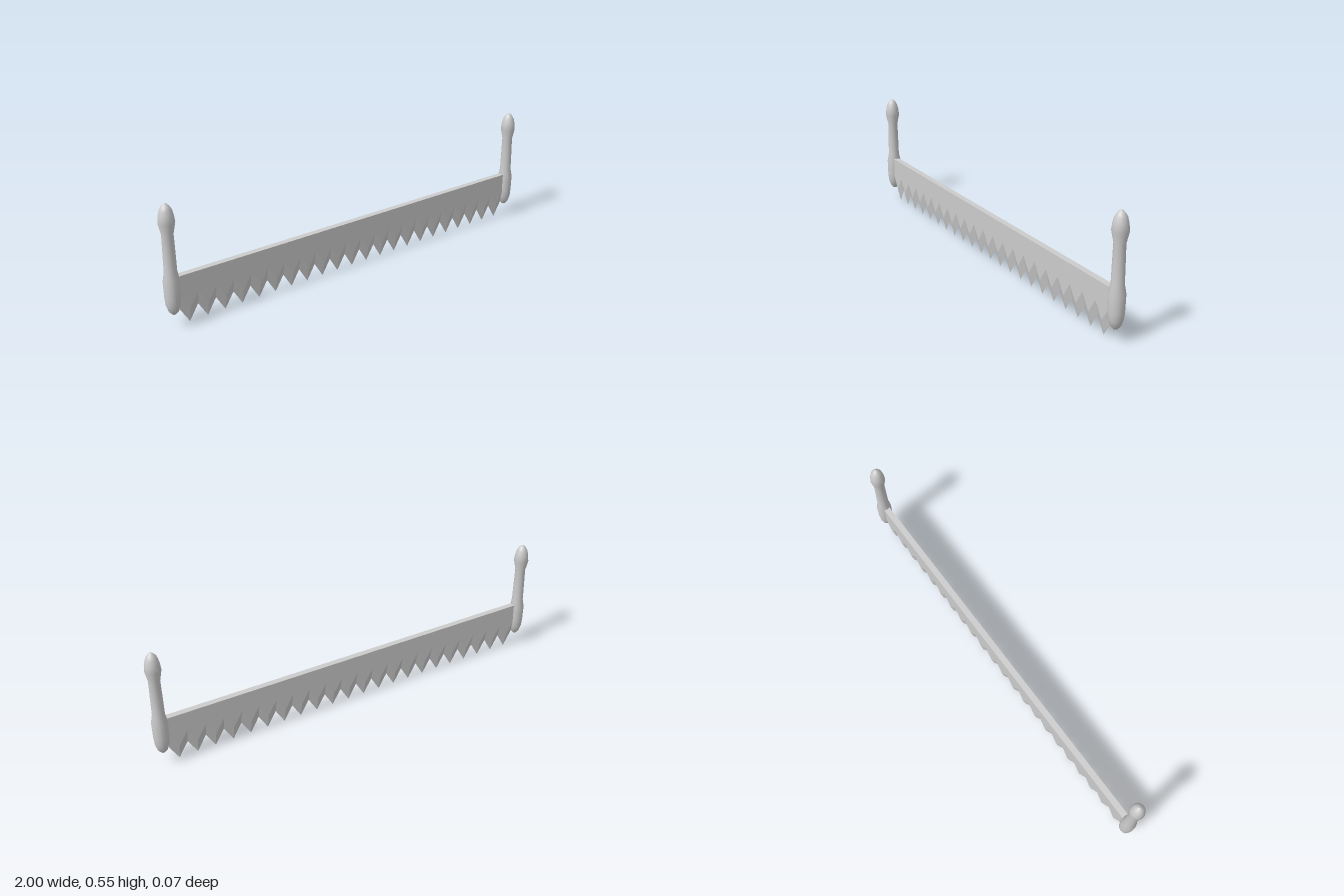
import * as THREE from 'three';

const TEETH = 22, PITCH = 0.0853, HALF = 0.0145;
const TOP = 0.23, LENGTH = TEETH * PITCH;

// Blade: a flat plate whose zigzag lower edge is chamfered to a sharp toothed edge.
function bladeGeometry() {
  const pos = [];
  const quad = (a, b, c, d) => pos.push(...a, ...b, ...c, ...a, ...c, ...d);
  // Cross-section at x; s = +1 valley between teeth, 0 = tooth tip
  const section = (x, s) => {
    const face = 0.073 + 0.067 * s, edge = 0.004 + 0.069 * s;
    return [[x, TOP, HALF], [x, face, HALF], [x, edge, 0], [x, face, -HALF], [x, TOP, -HALF]];
  };
  const steps = TEETH * 2;
  const at = (i) => section(-LENGTH / 2 + (i * PITCH) / 2, i % 2 === 0 ? 1 : 0);
  for (let i = 0; i < steps; i++) {
    const a = at(i), b = at(i + 1);
    for (let k = 0; k < 5; k++) {
      const n = (k + 1) % 5;
      quad(a[k], a[n], b[n], b[k]);
    }
  }
  // End caps
  const l = at(0), r = at(steps);
  for (let k = 1; k < 4; k++) {
    pos.push(...l[0], ...l[k + 1], ...l[k]);
    pos.push(...r[0], ...r[k], ...r[k + 1]);
  }
  const g = new THREE.BufferGeometry();
  g.setAttribute('position', new THREE.Float32BufferAttribute(pos, 3));
  g.computeVertexNormals();
  return g;
}

// Turned handle profile: radius, height
const HANDLE = [
  [0, 0.06], [0.009, 0.062], [0.022, 0.077], [0.031, 0.105], [0.034, 0.14], [0.035, 0.215],
  [0.027, 0.255], [0.026, 0.33], [0.0245, 0.42], [0.035, 0.47], [0.032, 0.5],
  [0.026, 0.525], [0.018, 0.539], [0.008, 0.55], [0, 0.553],
];

export function createModel() {
  const group = new THREE.Group();
  const grey = new THREE.MeshStandardMaterial({ color: 0xcccccc });

  const blade = new THREE.Mesh(bladeGeometry(),
    new THREE.MeshStandardMaterial({ color: 0xcccccc, flatShading: true }));
  blade.name = 'toothedBlade';
  group.add(blade);

  // One upright handle at each end
  const lathe = new THREE.LatheGeometry(HANDLE.map(([r, y]) => new THREE.Vector2(r, y)), 16);
  for (const side of [-1, 1]) {
    const handle = new THREE.Mesh(lathe, grey);
    handle.name = side > 0 ? 'leftHandle' : 'rightHandle';
    handle.position.x = side * 0.965;
    group.add(handle);
  }
  return group;
}
